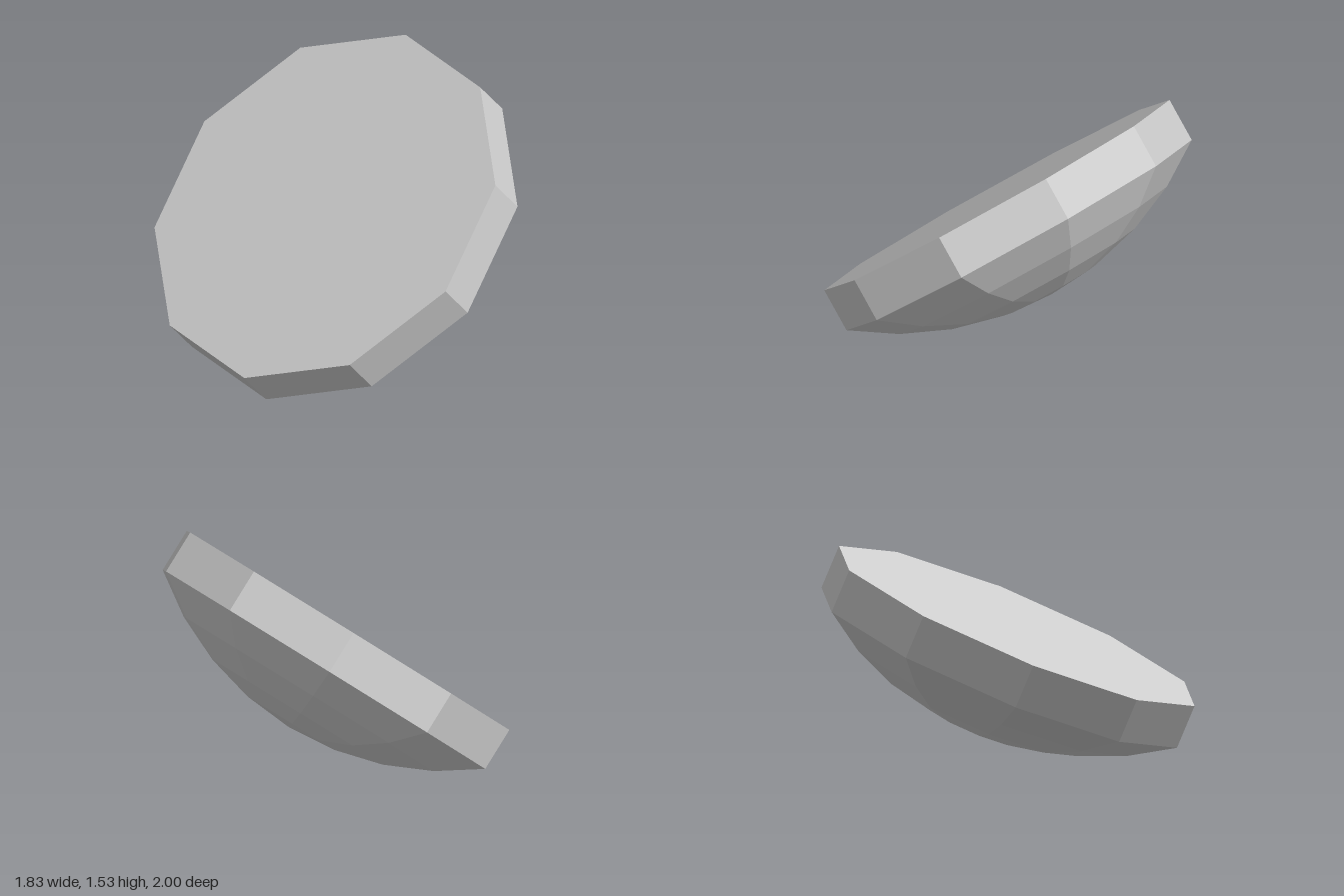
import * as THREE from 'three';

const SIDES = 10;
const RADIUS = 1.06;      // corner radius of the decagon
const RIM = 0.246;        // height of the straight rim
const DOME_ANGLE = THREE.MathUtils.degToRad(37.8); // half angle of the spherical dome
const DOME_RINGS = 4;

export function createModel() {
  const grey = new THREE.MeshStandardMaterial({ color: 0xcccccc, flatShading: true });
  grey.name = 'grey';

  const disc = new THREE.Group();
  disc.name = 'facetedDisc';

  // Ten-sided turned part from [radius, height] pairs, listed bottom to top
  function addTurned(name, profile) {
    const points = profile.map(([r, y]) => new THREE.Vector2(r, y));
    const mesh = new THREE.Mesh(new THREE.LatheGeometry(points, SIDES), grey);
    mesh.name = name;
    disc.add(mesh);
  }

  // Shallow spherical dome on the underside, in equal angle steps
  const sphere = RADIUS / Math.sin(DOME_ANGLE);
  const dome = [];
  for (let i = 0; i <= DOME_RINGS; i++) {
    const a = (DOME_ANGLE * i) / DOME_RINGS;
    dome.push([sphere * Math.sin(a), -RIM - sphere * (Math.cos(a) - Math.cos(DOME_ANGLE))]);
  }
  addTurned('dome', dome);

  // Straight rim and flat top face
  addTurned('rim', [[RADIUS, -RIM], [RADIUS, 0]]);
  addTurned('topFace', [[RADIUS, 0], [0, 0]]);

  // Tilt: the top face looks up, forward and to the model's right
  const normal = new THREE.Vector3(-0.538, 0.76, 0.366).normalize();
  const corner = new THREE.Vector3(0, -0.434, 0.901).normalize();
  const across = new THREE.Vector3().crossVectors(normal, corner).normalize();
  corner.crossVectors(across, normal);
  disc.quaternion.setFromRotationMatrix(new THREE.Matrix4().makeBasis(across, normal, corner));
  disc.position.set(-0.067, 0.866, 0.041);

  const model = new THREE.Group();
  model.name = 'model';
  model.add(disc);
  return model;
}
